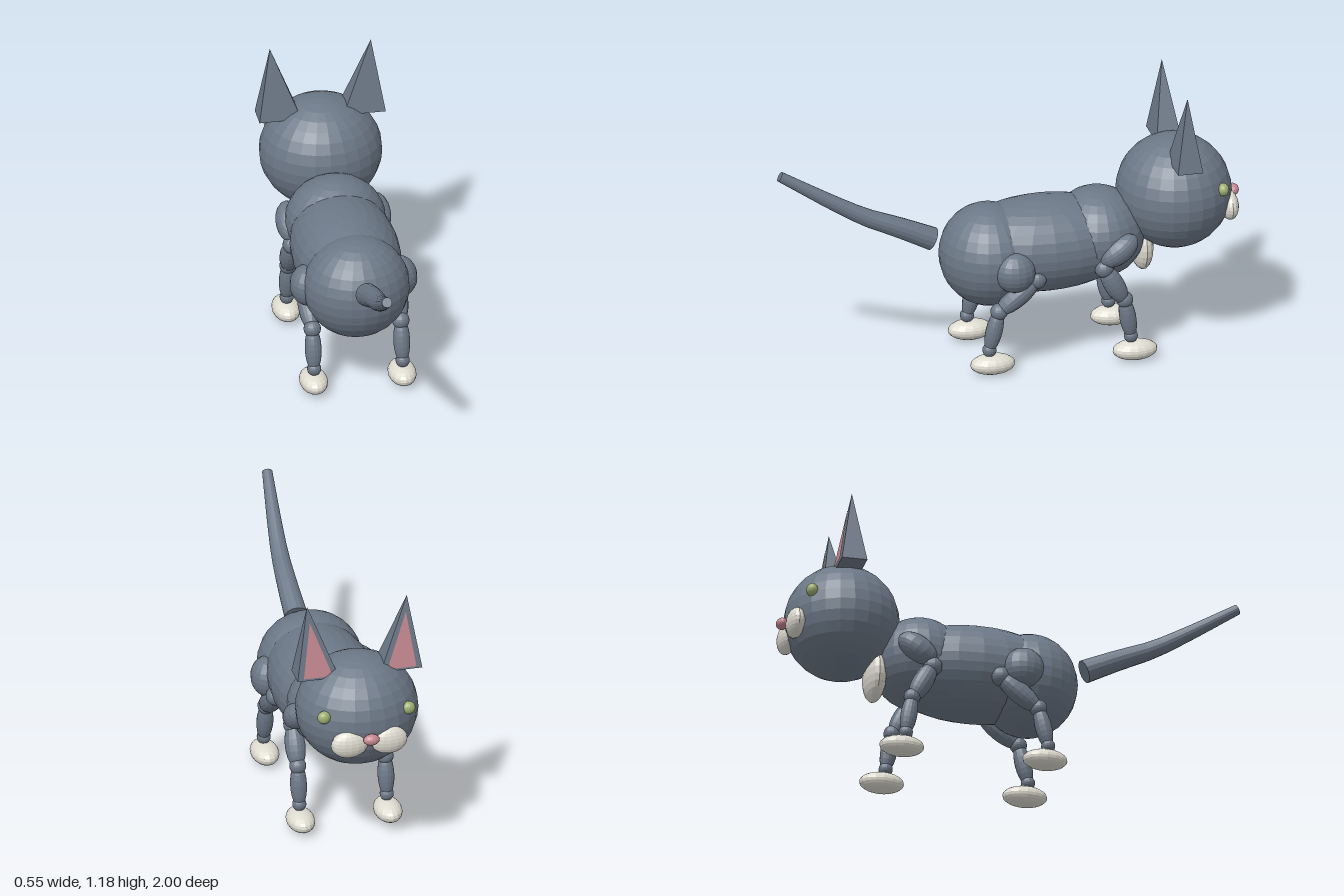
import * as THREE from 'three';

const mat = (name, color) =>
  new THREE.MeshStandardMaterial({ name, color, flatShading: true });

export function createModel() {
  const cat = new THREE.Group();
  cat.name = 'cat';
  const fur = mat('blueGreyFur', 0x6c7887);
  const cream = mat('creamFur', 0xdedbd0);
  const green = mat('eyeGreen', 0x9dae70);
  const pink = mat('pinkSkin', 0xc58790);
  const V = (x, y, z) => new THREE.Vector3(x, y, z);
  const UP = V(0, 1, 0);

  function add(name, geometry, material) {
    const mesh = new THREE.Mesh(geometry, material);
    mesh.name = name;
    cat.add(mesh);
    return mesh;
  }

  // Faceted ellipsoid with a centre, three radii and an optional tilt about x
  function blob(name, material, pos, radii, tilt = 0, cols = 16, rows = 12) {
    const mesh = add(name, new THREE.SphereGeometry(1, cols, rows), material);
    mesh.position.set(...pos);
    mesh.scale.set(...radii);
    mesh.rotation.x = tilt;
    return mesh;
  }

  // Slim ellipsoid stretched between two (y, z) points at the same x
  function limb(name, x, a, b, r) {
    const p = V(x, ...a), q = V(x, ...b);
    const mesh = blob(name, fur, p.clone().add(q).multiplyScalar(0.5).toArray(),
      [r, p.distanceTo(q) / 2, r]);
    mesh.quaternion.setFromUnitVectors(UP, q.sub(p).normalize());
  }

  // Body and head
  blob('rump', fur, [0, 0.472, 0.09], [0.226, 0.221, 0.21], 0, 24, 16);
  blob('belly', fur, [0, 0.5, -0.15], [0.228, 0.205, 0.42], 0, 24, 16);
  blob('chest', fur, [0, 0.525, -0.385], [0.215, 0.195, 0.2], 0, 24, 16);
  blob('head', fur, [0, 0.68, -0.717], [0.262, 0.245, 0.245], 0, 24, 16);
  blob('bib', cream, [0, 0.45, -0.575], [0.11, 0.115, 0.048]);
  blob('nose', pink, [0, 0.652, -0.975], [0.035, 0.024, 0.025]);

  // Ear: a leaning four-sided pyramid with an inner triangle on its face
  function ear(side, s) {
    const tip = V(s * 0.217, 1.185, -0.722);
    const base = [[0.09, -0.777], [0.271, -0.777], [0.271, -0.667], [0.09, -0.667]]
      .map(([x, z]) => V(s * x, 0.86, z));
    const [a, b, c, d] = base;
    const tris = [[a, tip, b], [b, tip, c], [c, tip, d], [d, tip, a], [a, b, c], [a, c, d]];
    const build = (list) => {
      const points = list.flatMap((t) => (s > 0 ? t : [t[0], t[2], t[1]]));
      const g = new THREE.BufferGeometry().setFromPoints(points);
      g.computeVertexNormals();
      return g;
    };
    add(side + 'Ear', build(tris), fur);
    const onFace = (u, h) => a.clone().lerp(b, u).lerp(tip, h).add(V(0, 0.001, -0.004));
    add(side + 'InnerEar',
      build([[onFace(0.14, 0.03), onFace(0.5, 0.78), onFace(0.86, 0.03)]]), pink);
  }

  for (const [side, s] of [['left', 1], ['right', -1]]) {
    ear(side, s);
    blob(side + 'Eye', green, [s * 0.184, 0.736, -0.886], [0.029, 0.028, 0.025]);
    blob(side + 'Cheek', cream, [s * 0.085, 0.622, -0.935], [0.081, 0.063, 0.04]);

    // Front leg
    const x = s * 0.19;
    blob(side + 'Shoulder', fur, [x, 0.507, -0.43], [0.057, 0.056, 0.096], 0.62);
    blob(side + 'Elbow', fur, [x, 0.432, -0.365], [0.04, 0.04, 0.04]);
    limb(side + 'UpperForeleg', x, [0.445, -0.36], [0.265, -0.457], 0.044);
    blob(side + 'ForeKnee', fur, [x, 0.28, -0.455], [0.036, 0.036, 0.036]);
    limb(side + 'LowerForeleg', x, [0.295, -0.452], [0.1, -0.485], 0.036);
    blob(side + 'ForeAnkle', fur, [x, 0.112, -0.482], [0.03, 0.03, 0.03]);
    blob(side + 'ForePaw', cream, [x, 0.047, -0.5], [0.06, 0.044, 0.097]);

    // Hind leg
    blob(side + 'Hip', fur, [s * 0.2, 0.46, 0.025], [0.073, 0.088, 0.088]);
    blob(side + 'Knee', fur, [x, 0.415, -0.072], [0.042, 0.042, 0.042]);
    limb(side + 'Thigh', x, [0.425, -0.085], [0.275, 0.1], 0.046);
    blob(side + 'Hock', fur, [x, 0.283, 0.092], [0.037, 0.037, 0.037]);
    limb(side + 'Shin', x, [0.295, 0.09], [0.1, 0.137], 0.036);
    blob(side + 'HindAnkle', fur, [x, 0.112, 0.134], [0.03, 0.03, 0.03]);
    blob(side + 'HindPaw', cream, [x, 0.047, 0.12], [0.06, 0.044, 0.097]);
  }

  // Tail: a cylinder bent along a curve and tapered to the tip
  const path = new THREE.CatmullRomCurve3([
    V(0, 0.565, 0.333), V(0, 0.638, 0.49), V(-0.005, 0.692, 0.62),
    V(-0.015, 0.76, 0.745), V(-0.04, 0.905, 0.988),
  ]);
  const tail = new THREE.CylinderGeometry(1, 1, 1, 16, 10);
  const pos = tail.attributes.position;
  for (let i = 0; i < pos.count; i++) {
    const t = pos.getY(i) + 0.5;
    const r = 0.05 + (0.022 - 0.05) * t;
    const dir = path.getTangentAt(t);
    const across = V(1, 0, 0).addScaledVector(dir, -dir.x).normalize();
    const out = across.clone().cross(dir);
    const p = path.getPointAt(t)
      .addScaledVector(across, pos.getX(i) * r)
      .addScaledVector(out, pos.getZ(i) * r);
    pos.setXYZ(i, p.x, p.y, p.z);
  }
  tail.computeVertexNormals();
  add('tail', tail, fur);

  return cat;
}
